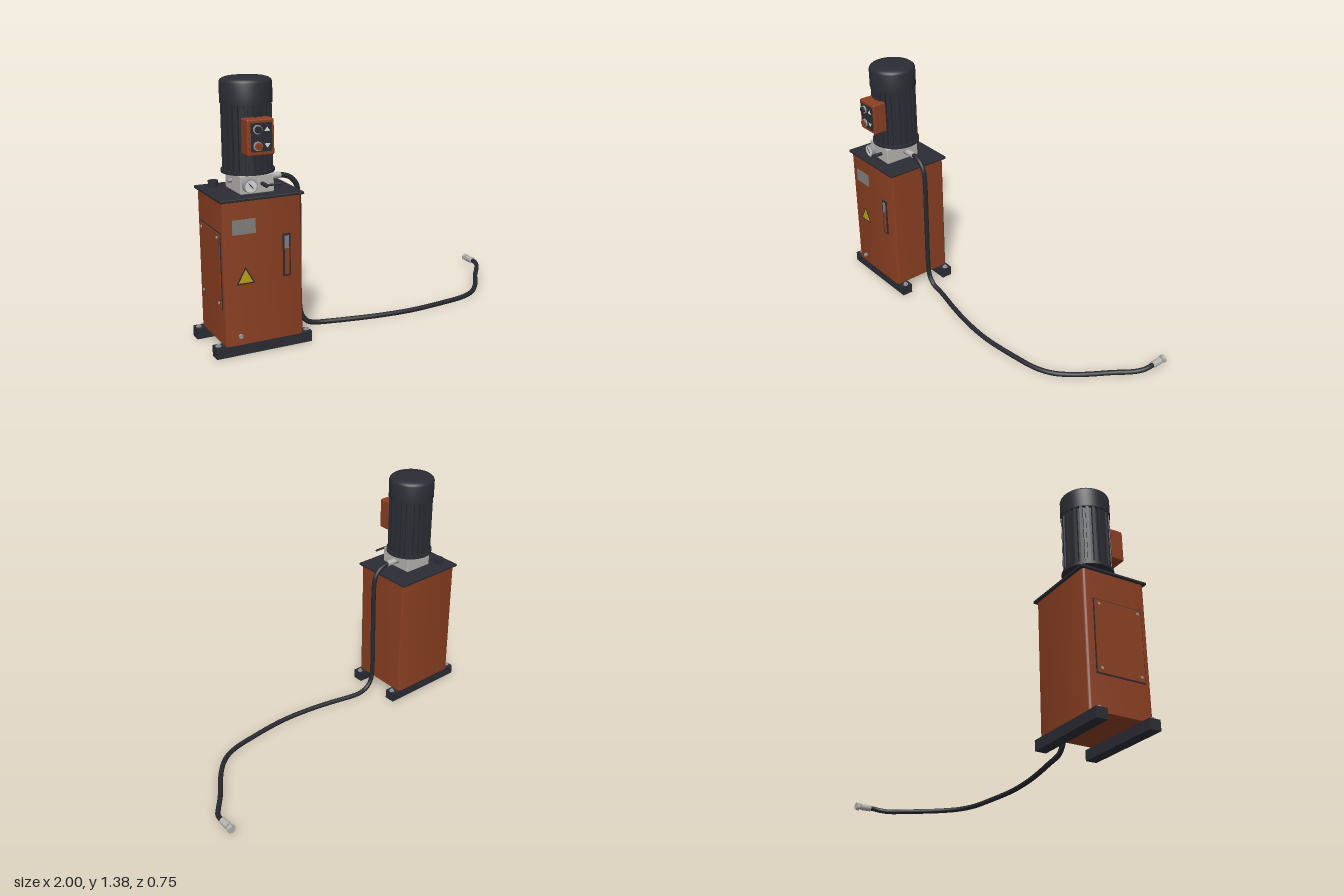
import * as THREE from 'three';
import { RoundedBoxGeometry } from 'three/addons/geometries/RoundedBoxGeometry.js';
import { toCreasedNormals } from 'three/addons/utils/BufferGeometryUtils.js';

const paint = (name, color, side = THREE.FrontSide) => {
  const m = new THREE.MeshStandardMaterial({ color, side });
  m.name = name;
  return m;
};

export function createModel() {
  const rust = paint('rust orange paint', 0x8a3f22);
  const dark = paint('dark grey paint', 0x2b2c34);
  const rubber = paint('black rubber', 0x27282e);
  const alloy = paint('light alloy', 0xb6b4af);
  const steel = paint('steel', 0x96969a);
  const label = paint('label grey', 0x82807e);
  const yellow = paint('warning yellow', 0xc2a012);
  const white = paint('dial white', 0xd8d8d4);

  const model = new THREE.Group();
  model.name = 'hydraulicPowerUnit';
  const CX = -0.738, CZ = 0.165; // centre line of tank and motor

  const add = (name, geo, mat, x = 0, y = 0, z = 0, parent = model) => {
    const mesh = new THREE.Mesh(geo, mat);
    mesh.name = name;
    mesh.position.set(x, y, z);
    parent.add(mesh);
    return mesh;
  };
  const box = (name, mat, x0, x1, y0, y1, z0, z1) =>
    add(name, new THREE.BoxGeometry(x1 - x0, y1 - y0, z1 - z0), mat, (x0 + x1) / 2, (y0 + y1) / 2, (z0 + z1) / 2);
  // Cylinder centred at a point along the axis 'x', 'y' or 'z'
  const rod = (name, mat, r, len, axis, x, y, z, sides = 24, r2 = r) => {
    const geo = new THREE.CylinderGeometry(r2, r, len, sides);
    if (axis === 'x') geo.rotateZ(-Math.PI / 2);
    if (axis === 'z') geo.rotateX(Math.PI / 2);
    return add(name, sides <= 8 ? toCreasedNormals(geo, 0.5) : geo, mat, x, y, z);
  };
  // Flat upright triangle facing +z
  const triangle = (name, mat, x, y, z, w, h) => {
    const s = new THREE.Shape();
    s.moveTo(-w / 2, -h / 2);
    s.lineTo(w / 2, -h / 2);
    s.lineTo(0, h / 2);
    return add(name, new THREE.ExtrudeGeometry(s, { depth: 0.003, bevelEnabled: false }), mat, x, y, z);
  };

  // Tank with rounded upright corners
  const w = 0.211, d = 0.184, c = 0.018;
  const plan = new THREE.Shape();
  [[w - c, d - c, 0], [c - w, d - c, 1], [c - w, c - d, 2], [w - c, c - d, 3]].forEach(([x, y, q]) =>
    plan.absarc(x, y, c, q * Math.PI / 2, (q + 1) * Math.PI / 2, false));
  plan.closePath();
  const tankGeo = new THREE.ExtrudeGeometry(plan, { depth: 0.743, bevelEnabled: false, curveSegments: 6 });
  tankGeo.rotateX(-Math.PI / 2);
  add('tank', toCreasedNormals(tankGeo, 0.6), rust, CX, 0.056, 0.166);
  add('lid', new RoundedBoxGeometry(0.446, 0.015, 0.393, 2, 0.004), dark, CX, 0.805, 0.164);

  // Foot rails and their bolts
  for (const z of [0.316, 0.015]) {
    box('footRail', dark, -1, -0.477, 0, 0.057, z - 0.032, z + 0.032);
    for (const side of [-1, 1]) {
      const x = CX + side * 0.242;
      rod('footWasher', steel, 0.015, 0.004, 'y', x, 0.058, z);
      rod('footBolt', steel, 0.01, 0.01, 'y', x, 0.064, z, 6);
    }
  }

  // Side inspection hatch
  box('hatchGasket', dark, -0.953, -0.947, 0.247, 0.643, 0.032, 0.318);
  box('hatchCover', rust, -0.957, -0.95, 0.252, 0.638, 0.037, 0.313);
  for (const y of [0.275, 0.615]) for (const z of [0.06, 0.29])
    rod('hatchBolt', steel, 0.008, 0.009, 'x', -0.958, y, z, 6);

  // Tank front: name plate, warning sign, level gauge, drain plug
  box('namePlate', label, -0.9, -0.778, 0.631, 0.706, 0.348, 0.353);
  triangle('warningBorder', dark, -0.837, 0.418, 0.349, 0.1, 0.09);
  triangle('warningSign', yellow, -0.837, 0.415, 0.351, 0.076, 0.068);
  box('levelGaugeFrame', dark, -0.635, -0.595, 0.383, 0.606, 0.347, 0.357);
  box('levelGaugeGlass', label, -0.627, -0.603, 0.53, 0.596, 0.352, 0.359);
  box('levelGaugeOil', rust, -0.627, -0.603, 0.393, 0.53, 0.352, 0.359);
  rod('drainPlug', steel, 0.012, 0.016, 'z', -0.873, 0.104, 0.356, 6);

  // Filler cap
  rod('fillerNeck', dark, 0.022, 0.012, 'y', -0.885, 0.816, 0.05);
  rod('fillerCap', dark, 0.026, 0.028, 'y', -0.885, 0.833, 0.05);

  // Pump block with side port
  add('pumpBlock', new RoundedBoxGeometry(0.18, 0.094, 0.213, 2, 0.006), alloy, CX, 0.859, 0.183);
  rod('sidePort', steel, 0.012, 0.022, 'x', -0.837, 0.864, 0.165, 6);

  // Pressure gauge
  rod('gaugeStem', steel, 0.012, 0.02, 'z', -0.787, 0.86, 0.296);
  rod('gaugeCase', steel, 0.036, 0.026, 'z', -0.787, 0.86, 0.314, 32);
  rod('gaugeDial', white, 0.03, 0.004, 'z', -0.787, 0.86, 0.327, 32);
  const needle = box('gaugeNeedle', dark, -0.789, -0.785, 0.844, 0.882, 0.328, 0.331);
  needle.rotation.z = 0.7;

  // Valve lever
  rod('valveStem', dark, 0.01, 0.06, 'z', -0.712, 0.86, 0.318);
  rod('valveLever', dark, 0.006, 0.085, 'x', -0.68, 0.862, 0.345, 12);

  // Motor: flange, finned body, cap
  rod('motorFlange', dark, 0.136, 0.016, 'y', CX, 0.913, CZ, 48);
  const fins = new THREE.Shape();
  const finCount = 24;
  for (let i = 0; i < finCount; i++) {
    [[-0.28, 0.113], [-0.25, 0.128], [0.25, 0.128], [0.28, 0.113]].forEach(([t, r], k) => {
      const a = (i + t) / finCount * Math.PI * 2;
      fins[i + k ? 'lineTo' : 'moveTo'](Math.cos(a) * r, Math.sin(a) * r);
    });
  }
  fins.closePath();
  const finGeo = new THREE.ExtrudeGeometry(fins, { depth: 0.345, bevelEnabled: false });
  finGeo.rotateX(-Math.PI / 2);
  add('motorFins', finGeo, dark, CX, 0.918, CZ);
  const cap = [[0, 1.255], [0.132, 1.255], [0.132, 1.357], [0.128, 1.367], [0.117, 1.376], [0.1, 1.381], [0, 1.385]];
  const capGeo = new THREE.LatheGeometry(cap.map(p => new THREE.Vector2(...p)), 48);
  add('motorCap', toCreasedNormals(capGeo, 0.6), dark, CX, 0, CZ);

  // Control box with two push buttons and arrows
  add('controlBox', new RoundedBoxGeometry(0.142, 0.18, 0.085, 3, 0.008), rust, CX, 1.104, 0.309);
  box('controlPanel', dark, -0.79, -0.68, 1.034, 1.176, 0.348, 0.355);
  [[1.145, dark, 1], [1.063, rust, -1]].forEach(([y, mat, dir]) => {
    rod('buttonRing', steel, 0.023, 0.01, 'z', -0.757, y, 0.358);
    rod('button', mat, 0.017, 0.016, 'z', -0.757, y, 0.366);
    const arrow = triangle('buttonArrow', white, -0.706, y, 0.354, 0.032, 0.022);
    if (dir < 0) arrow.rotation.z = Math.PI;
  });

  // Hose outlet fitting
  rod('outletNut', steel, 0.019, 0.03, 'x', -0.636, 0.865, CZ, 6);
  rod('outletSleeve', alloy, 0.017, 0.06, 'x', -0.592, 0.865, CZ);

  // Hose from the pump, down the side and along the floor
  const path = [
    [-0.6, 0.865, 0.165], [-0.55, 0.863, 0.165], [-0.505, 0.846, 0.165], [-0.473, 0.808, 0.165],
    [-0.462, 0.75, 0.165], [-0.462, 0.45, 0.165], [-0.462, 0.13, 0.165], [-0.45, 0.075, 0.165],
    [-0.415, 0.035, 0.165], [-0.36, 0.02, 0.165], [-0.31, 0.017, 0.172], [-0.16, 0.017, 0.205],
    [0, 0.017, 0.232], [0.19, 0.017, 0.245], [0.4, 0.017, 0.228], [0.57, 0.017, 0.2],
    [0.66, 0.017, 0.157], [0.74, 0.017, 0.08], [0.8, 0.017, 0], [0.865, 0.018, -0.095],
    [0.93, 0.022, -0.175], [0.965, 0.032, -0.225], [0.976, 0.04, -0.265], [0.976, 0.041, -0.3]];
  const curve = new THREE.CatmullRomCurve3(path.map(p => new THREE.Vector3(...p)));
  add('hose', new THREE.TubeGeometry(curve, 220, 0.0138, 14), rubber);

  // Hose end coupling
  rod('couplingSleeve', alloy, 0.019, 0.06, 'z', 0.976, 0.041, -0.312);
  rod('couplingNeck', steel, 0.014, 0.02, 'z', 0.976, 0.041, -0.348);
  rod('couplingNut', alloy, 0.024, 0.02, 'z', 0.976, 0.041, -0.364, 6);

  return model;
}
